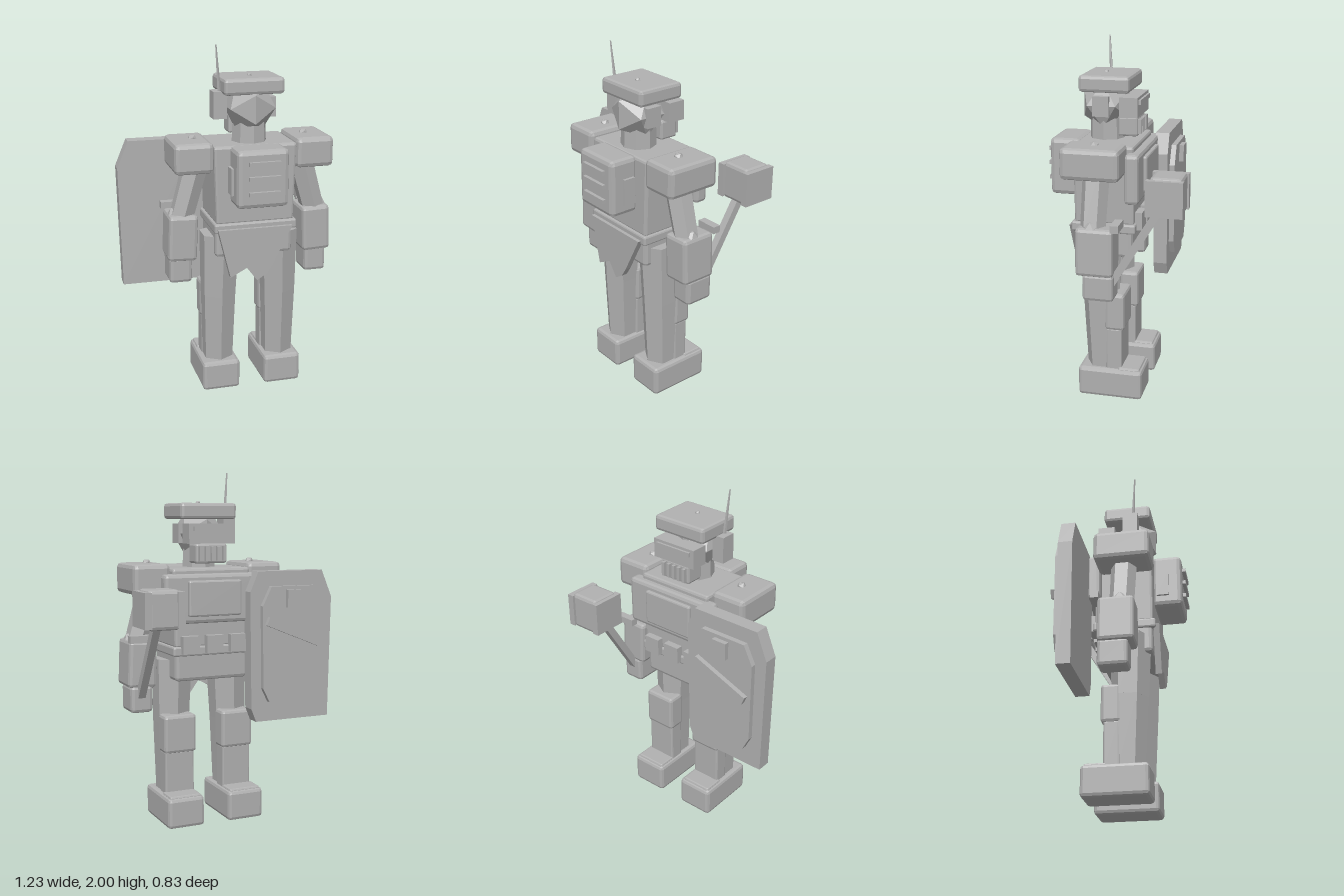
import * as THREE from 'three';
import { RoundedBoxGeometry } from 'three/addons/geometries/RoundedBoxGeometry.js';

const CX = 0.095; // centre line of the body

export function createModel() {
  const root = new THREE.Group();
  root.name = 'armouredTrooper';
  const grey = new THREE.MeshStandardMaterial({ color: 0xb0b0b0, flatShading: true });
  grey.name = 'grey';

  const add = (name, geo) => {
    const m = new THREE.Mesh(geo, grey);
    m.name = name;
    root.add(m);
    return m;
  };
  // Box by its limits; c is the chamfer width
  const box = (name, x0, x1, y0, y1, z0, z1, c = 0) => {
    const w = x1 - x0, h = y1 - y0, d = z1 - z0;
    const geo = c ? new RoundedBoxGeometry(w, h, d, 1, c) : new THREE.BoxGeometry(w, h, d);
    const m = add(name, geo);
    m.position.set((x0 + x1) / 2, (y0 + y1) / 2, (z0 + z1) / 2);
    return m;
  };
  // Same box on one side of the body, measured outwards from the centre line
  const sideBox = (name, s, a, b, ...rest) =>
    s > 0 ? box(name, CX + a, CX + b, ...rest) : box(name, CX - b, CX - a, ...rest);
  // Tapered prism between two points
  const limb = (name, a, b, ra, rb, sides = 6) => {
    const p = new THREE.Vector3(...a), q = new THREE.Vector3(...b);
    const dir = q.clone().sub(p);
    const m = add(name, new THREE.CylinderGeometry(rb, ra, dir.length(), sides));
    m.position.copy(p).add(q).multiplyScalar(0.5);
    m.quaternion.setFromUnitVectors(new THREE.Vector3(0, 1, 0), dir.normalize());
    return m;
  };
  const gem = (name, x, y, z, r) => {
    const m = add(name, new THREE.IcosahedronGeometry(r, 0));
    m.position.set(x, y, z);
    return m;
  };
  // Flat outline extruded along z
  const plate = (name, pts, z0, z1) => {
    const shape = new THREE.Shape(pts.map(p => new THREE.Vector2(...p)));
    const m = add(name, new THREE.ExtrudeGeometry(shape, { depth: z1 - z0, bevelEnabled: false }));
    m.position.z = z0;
    return m;
  };

  // Torso, narrowing towards the waist
  const torso = box('torso', -0.14, 0.335, 1.02, 1.465, -0.1, 0.235, 0.015);
  const tp = torso.geometry.attributes.position;
  for (let i = 0; i < tp.count; i++) {
    const k = 0.94 + 0.13 * (tp.getY(i) + 0.2225);
    tp.setX(i, tp.getX(i) * k);
  }
  box('chestPlate', -0.19, 0.395, 1.16, 1.435, -0.14, -0.06, 0.02);
  box('chestInnerPlate', -0.06, 0.26, 1.2, 1.4, -0.16, -0.13, 0.01);

  // Waist, belt and pouches
  box('pelvis', -0.13, 0.315, 0.83, 1.0, -0.09, 0.23, 0.02);
  box('belt', -0.14, 0.335, 0.975, 1.03, -0.11, 0.25, 0.01);
  for (const x of [-0.05, CX, 0.24]) box('beltPouch', x - 0.05, x + 0.05, 0.99, 1.09, -0.14, -0.07);
  plate('raggedCloth', [[-0.125, 1.0], [-0.055, 0.72], [0.04, 0.77], [0.1, 0.69],
    [0.155, 0.725], [0.19, 0.78], [0.305, 1.0]], 0.235, 0.27);

  // Backpack with slats
  box('backpack', -0.05, 0.24, 1.15, 1.47, 0.22, 0.395, 0.025);
  for (const y of [1.235, 1.32, 1.4]) box('backpackSlat', 0.01, 0.185, y - 0.011, y + 0.011, 0.385, 0.415);
  box('backpackSidePouch', -0.065, 0.255, 1.21, 1.36, 0.25, 0.32);

  // Neck, head, helmet and mask
  limb('neck', [CX, 1.44, 0.1], [CX, 1.58, 0.1], 0.1, 0.095, 8);
  gem('head', CX, 1.655, 0.105, 0.15);
  box('helmet', -0.075, 0.265, 1.735, 1.825, -0.06, 0.22, 0.018);
  gem('helmetStud', 0.095, 1.825, 0.105, 0.015);
  box('faceMask', -0.045, 0.235, 1.6, 1.71, -0.1, 0.0);
  box('mouthGuard', 0.0, 0.19, 1.49, 1.6, -0.09, 0.02, 0.012);
  box('visorStrip', -0.02, 0.21, 1.67, 1.695, -0.113, -0.09);
  for (let i = 0; i < 5; i++) {
    const x = 0.023 + i * 0.036;
    box('mouthBar', x - 0.009, x + 0.009, 1.505, 1.585, -0.11, -0.08);
  }
  box('earBox', -0.12, -0.045, 1.6, 1.75, 0.06, 0.15);
  box('earCap', 0.19, 0.235, 1.6, 1.71, 0.06, 0.15);
  limb('antenna', [-0.08, 1.74, 0.12], [-0.102, 2.0, 0.135], 0.011, 0.004, 5);

  // Arms and legs, mirrored
  for (const s of [1, -1]) {
    const X = d => CX + s * d;
    sideBox('shoulderPad', s, 0.235, 0.452, 1.32, 1.49, -0.07, 0.25, 0.025);
    gem('shoulderStud', X(0.322), 1.485, 0.09, 0.028);
    limb('upperArm', [X(0.39), 1.04, 0.085], [X(0.3), 1.36, 0.085], 0.07, 0.075);
    const forearm = sideBox('forearm', s, 0.31, 0.475, 0.8, 1.065, -0.04, 0.165, 0.02);
    forearm.rotation.z = s * 0.04;
    sideBox('hand', s, 0.337, 0.467, 0.66, 0.815, -0.04, 0.13, 0.02);
    sideBox('elbowGuard', s, 0.36, 0.48, 1.06, 1.1, -0.075, -0.03);
    gem('elbowStud', X(0.425), 1.06, 0.085, 0.045);

    limb('thigh', [X(0.18), 0.57, 0.095], [X(0.172), 0.94, 0.1], 0.105, 0.118);
    limb('shin', [X(0.182), 0.16, 0.085], [X(0.18), 0.575, 0.095], 0.092, 0.105);
    sideBox('kneePad', s, 0.08, 0.275, 0.41, 0.63, -0.055, 0.055, 0.018);
    sideBox('shinPlate', s, 0.09, 0.268, 0.16, 0.42, -0.04, 0.05, 0.01);
    sideBox('foot', s, 0.075, 0.295, 0.0, 0.175, -0.16, 0.21, 0.02);
    sideBox('toeCap', s, 0.09, 0.28, 0.16, 0.185, -0.145, -0.02, 0.01);
  }

  // Hammer
  const shaft = limb('hammerShaft', [0.5, 0.72, 0.0], [0.5, 1.19, -0.285], 0.03, 0.03, 4);
  shaft.rotateY(Math.PI / 4);
  box('hammerHead', 0.41, 0.59, 1.165, 1.375, -0.41, -0.24, 0.02);
  box('hammerFace', 0.39, 0.43, 1.175, 1.365, -0.42, -0.225);
  box('hammerFace', 0.575, 0.613, 1.175, 1.365, -0.42, -0.225);

  // Shield with raised panel, bar and square tab
  plate('shield', [[-0.6, 0.585], [-0.13, 0.585], [-0.1, 0.66], [-0.09, 1.33],
    [-0.14, 1.445], [-0.55, 1.445], [-0.615, 1.29]], -0.205, -0.125);
  plate('shieldPanel', [[-0.5, 0.7], [-0.2, 0.7], [-0.16, 0.78], [-0.155, 1.25],
    [-0.21, 1.36], [-0.49, 1.36], [-0.545, 1.25], [-0.54, 0.78]], -0.235, -0.2);
  const bar = box('shieldBar', -0.525, -0.165, 1.075, 1.125, -0.262, -0.23);
  bar.rotation.z = 0.38;
  box('shieldTab', -0.39, -0.3, 1.24, 1.34, -0.262, -0.23);

  return root;
}
